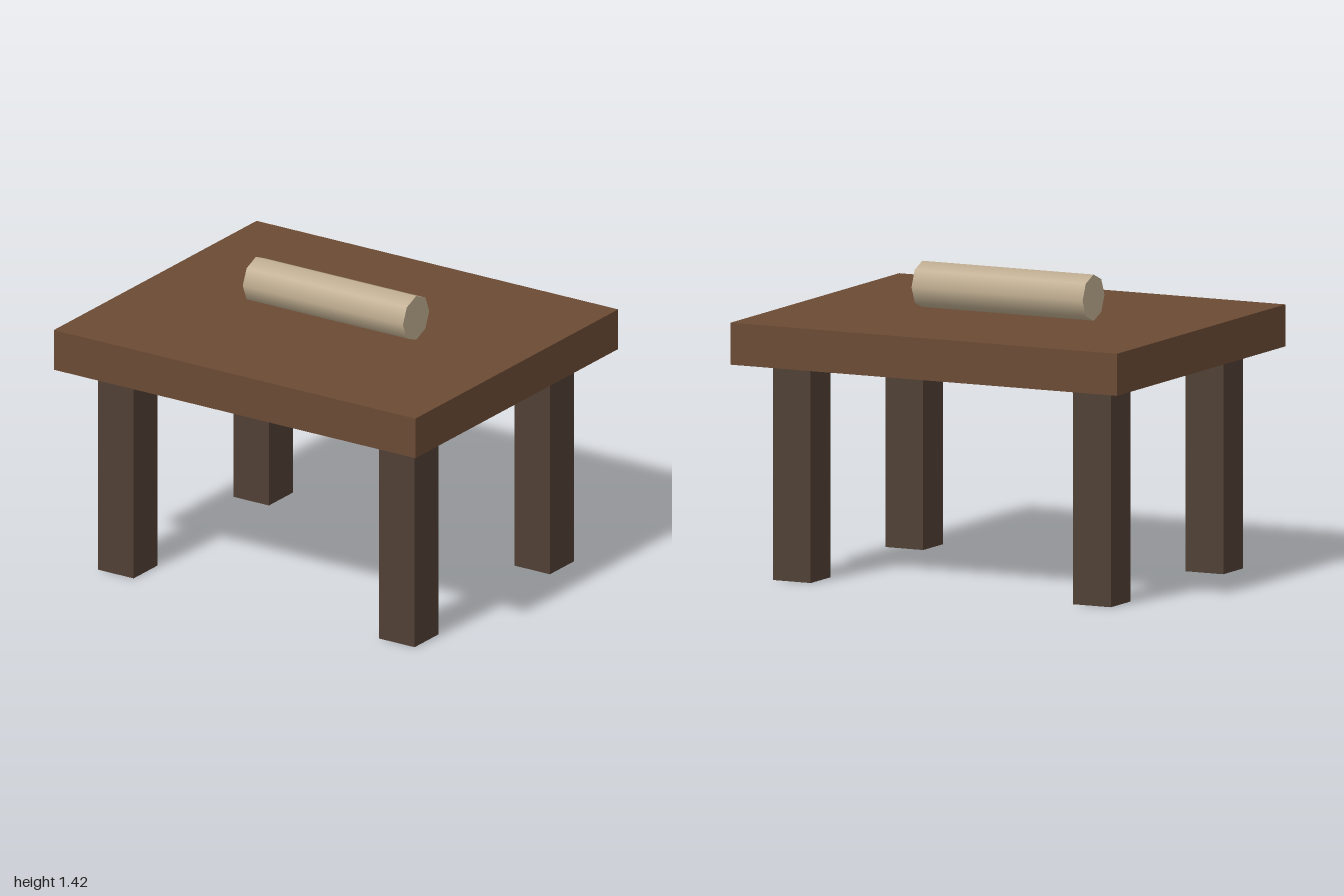
import * as THREE from 'three';

export function createModel() {
  const group = new THREE.Group();
  const add = (name, geometry, color, x, y, z) => {
    const mesh = new THREE.Mesh(geometry, new THREE.MeshStandardMaterial({ color }));
    mesh.name = name;
    mesh.position.set(x, y, z);
    group.add(mesh);
    return mesh;
  };

  // Thick slab top
  const legHeight = 1.015, topThickness = 0.195;
  add('tableTop', new THREE.BoxGeometry(2, topThickness, 1.664), 0x6b4a34, 0, legHeight + topThickness / 2, 0);

  // Four square legs
  const legGeometry = new THREE.BoxGeometry(0.196, legHeight, 0.196);
  for (const [end, z] of [['front', 0.555], ['back', -0.555]]) {
    for (const [side, x] of [['Left', 0.777], ['Right', -0.777]]) {
      add(`${end}${side}Leg`, legGeometry, 0x4f3f34, x, legHeight / 2, z);
    }
  }

  // Eight-sided scroll lying along x, resting on the top
  const radius = 0.108;
  const scroll = add('scroll', new THREE.CylinderGeometry(radius, radius, 0.886, 8), 0xbfad90,
    0, 1.315, 0);
  scroll.rotation.z = Math.PI / 2;

  return group;
}
